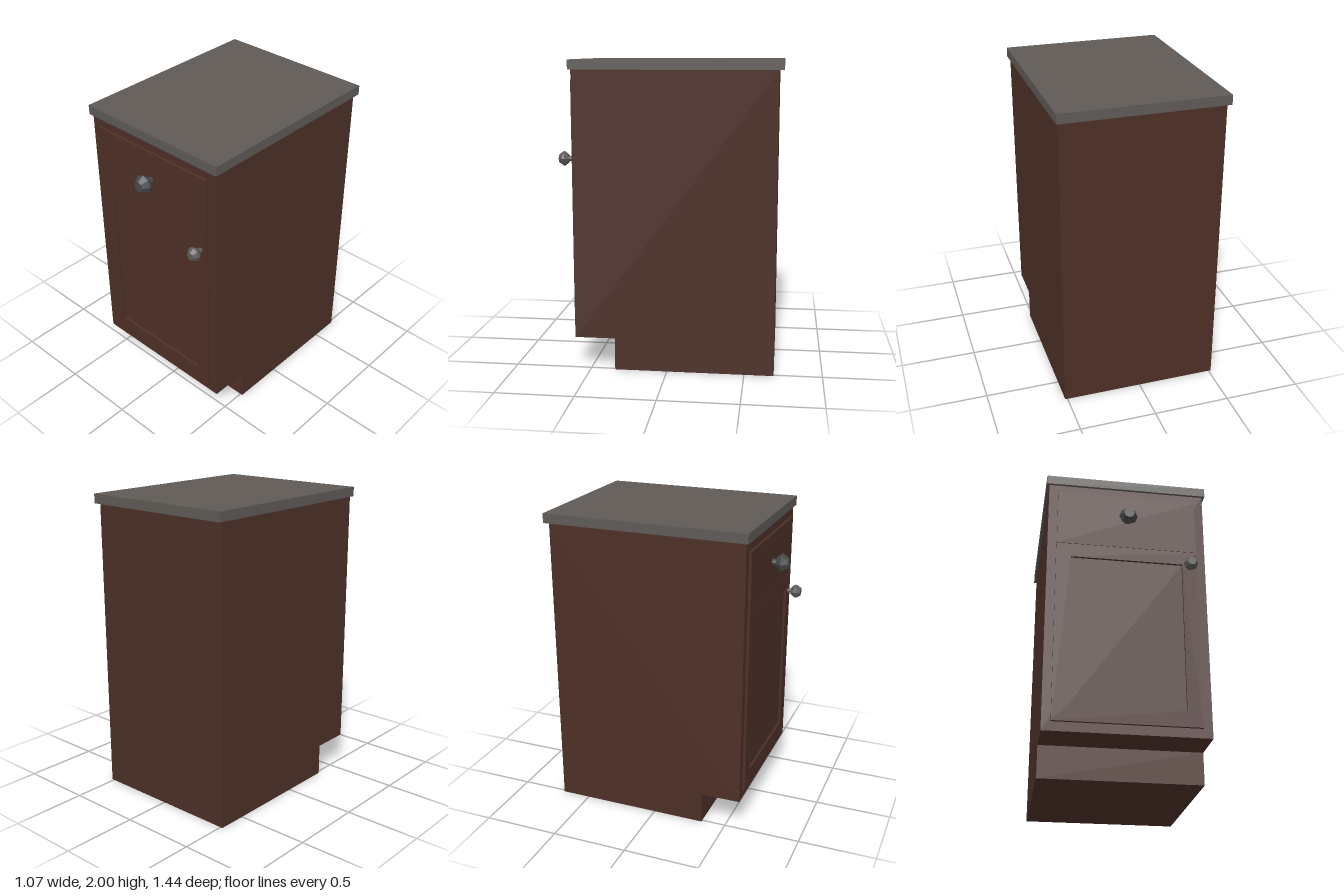
import * as THREE from 'three';

const material = (color) => new THREE.MeshStandardMaterial({ color, flatShading: true });

function rectPath(target, x0, y0, x1, y1) {
  target.moveTo(x0, y0);
  target.lineTo(x1, y0);
  target.lineTo(x1, y1);
  target.lineTo(x0, y1);
  target.closePath();
  return target;
}

export function createModel() {
  const group = new THREE.Group();
  const wood = material(0x4d3028);
  const stone = material(0x5f5a56);
  const darkMetal = material(0x484a4a);
  const metal = material(0x5e5c5a);

  const add = (name, geometry, mat, parent = group) => {
    const mesh = new THREE.Mesh(geometry, mat);
    mesh.name = name;
    parent.add(mesh);
    return mesh;
  };
  const box = (name, mat, x0, x1, y0, y1, z0, z1) => {
    const mesh = add(name, new THREE.BoxGeometry(x1 - x0, y1 - y0, z1 - z0), mat);
    mesh.position.set((x0 + x1) / 2, (y0 + y1) / 2, (z0 + z1) / 2);
  };

  // Cabinet body: side profile with toe kick (drawn in z, y), extruded across x
  const halfWidth = 0.516;
  const profile = new THREE.Shape([
    [-0.69, 0], [0.34, 0], [0.34, 0.21], [0.6, 0.21], [0.6, 1.938], [-0.69, 1.938],
  ].map(([z, y]) => new THREE.Vector2(-z, y)));
  const body = new THREE.ExtrudeGeometry(profile, { depth: halfWidth * 2, bevelEnabled: false });
  body.translate(0, 0, -halfWidth);
  body.rotateY(Math.PI / 2);
  add('cabinetBody', body, wood);

  // Countertop
  box('countertop', stone, -0.533, 0.533, 1.938, 2, -0.722, 0.617);

  // Drawer front
  box('drawerFront', wood, -0.456, 0.456, 1.487, 1.875, 0.598, 0.617);

  // Door frame around a recessed panel
  const frame = rectPath(new THREE.Shape(), -0.459, 0.27, 0.456, 1.485);
  frame.holes.push(rectPath(new THREE.Path(), -0.364, 0.375, 0.36, 1.39));
  const door = add('doorFrame', new THREE.ExtrudeGeometry(frame, { depth: 0.019, bevelEnabled: false }), wood);
  door.position.z = 0.598;
  box('doorPanel', wood, -0.364, 0.36, 0.375, 1.39, 0.598, 0.602);

  // Faceted knobs: [radius, distance from the face], turned around z
  const knob = (name, mat, x, y, points) => {
    const lathe = new THREE.LatheGeometry(points.map(([r, d]) => new THREE.Vector2(r, d)), 8);
    lathe.rotateX(Math.PI / 2);
    add(name, lathe, mat).position.set(x, y, 0.615);
  };
  knob('drawerKnob', darkMetal, 0, 1.687,
    [[0.021, 0], [0.021, 0.029], [0.034, 0.029], [0.061, 0.066], [0.034, 0.107], [0, 0.107]]);
  knob('doorKnob', metal, 0.406, 1.37,
    [[0.016, 0], [0.016, 0.03], [0.027, 0.03], [0.046, 0.054], [0.046, 0.066], [0.027, 0.093], [0, 0.093]]);

  return group;
}
